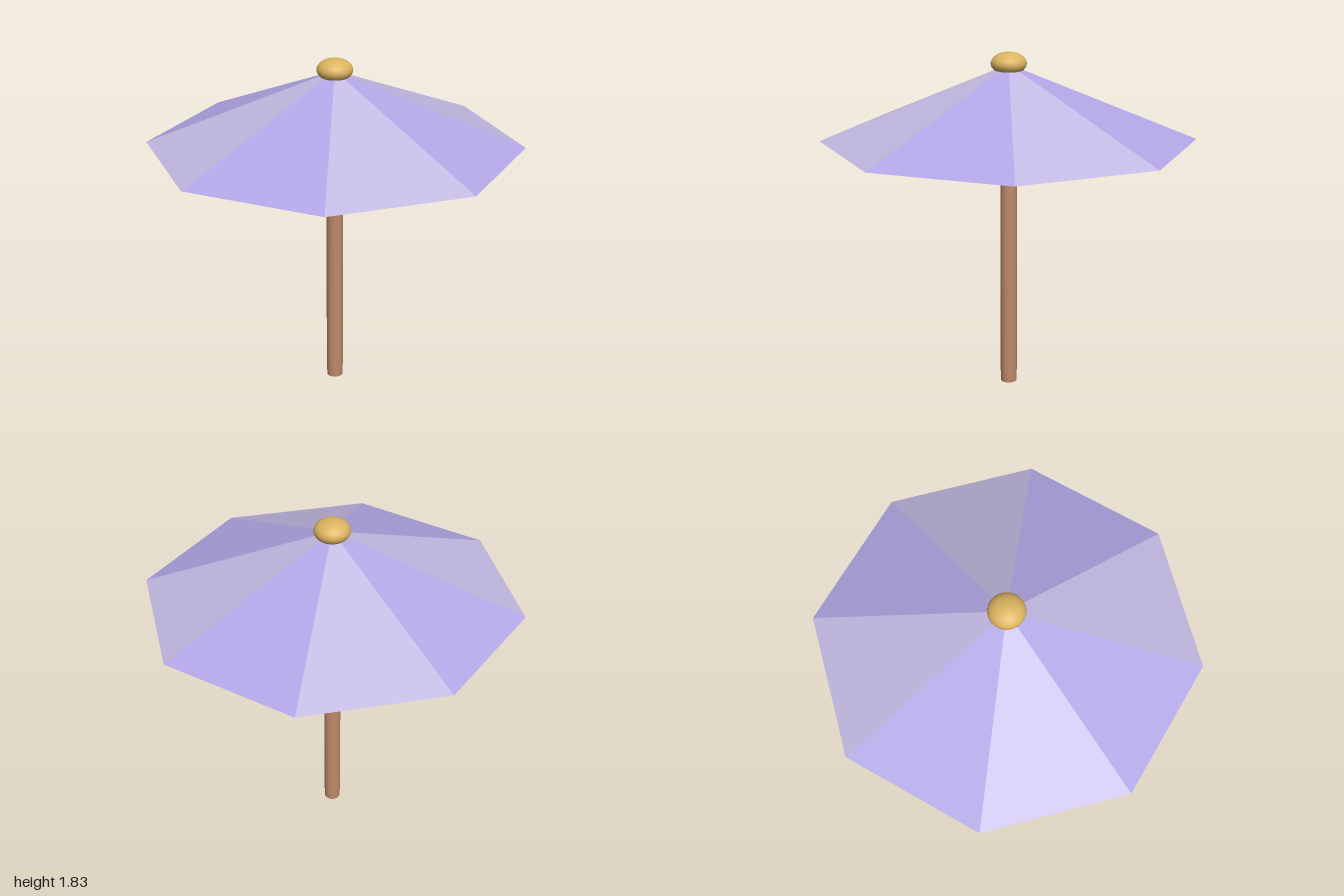
import * as THREE from 'three';

const material = (name, color, side = THREE.FrontSide) =>
  Object.assign(new THREE.MeshStandardMaterial({ color, side }), { name });

const RIM_Y = 1.365;
const SIDES = 8;

export function createModel() {
  const model = new THREE.Group();
  model.name = 'parasol';
  const wood = material('wood', 0xc08a6a);
  const gold = material('gold', 0xdcb460);
  const fabrics = [
    material('violetFabric', 0xb2a7e6, THREE.DoubleSide),
    material('paleFabric', 0xc2b9e2, THREE.DoubleSide),
  ];

  const add = (parent, name, geometry, mat) => {
    const mesh = new THREE.Mesh(geometry, mat);
    mesh.name = name;
    parent.add(mesh);
    return mesh;
  };

  // Pole, narrowing slightly at the foot and stopping just inside the canopy
  const profile = [[0, 0], [0.042, 0], [0.042, 0], [0.045, 0.07], [0.045, 1.445], [0.045, 1.445], [0, 1.445]];
  const poleParts = [
    [[0, 0], [0.042, 0]],
    profile.slice(2, 5),
    [[0.045, 1.445], [0, 1.445]],
  ];
  const pole = new THREE.Group();
  pole.name = 'pole';
  ['poleFoot', 'poleShaft', 'poleTop'].forEach((name, i) => {
    const points = poleParts[i].map(([x, y]) => new THREE.Vector2(x, y));
    add(pole, name, new THREE.LatheGeometry(points, 16), wood);
  });
  model.add(pole);

  // Canopy: eight flat panels in alternating fabric, with a lining that meets them at the rim
  const canopy = new THREE.Group();
  canopy.name = 'canopy';
  const step = (Math.PI * 2) / SIDES;
  for (const [layer, height] of [['canopyPanel', 0.405], ['canopyLining', 0.382]]) {
    for (let i = 0; i < SIDES; i++) {
      const panel = new THREE.ConeGeometry(1, height, 1, 1, true, i * step, step).toNonIndexed();
      panel.computeVertexNormals();
      panel.translate(0, RIM_Y + height / 2, 0);
      add(canopy, layer, panel, fabrics[i % 2]);
    }
  }
  model.add(canopy);

  // Flattened finial
  const finial = add(model, 'finial', new THREE.SphereGeometry(0.095, 24, 16), gold);
  finial.scale.y = 0.63;
  finial.position.y = 1.775;

  return model;
}
